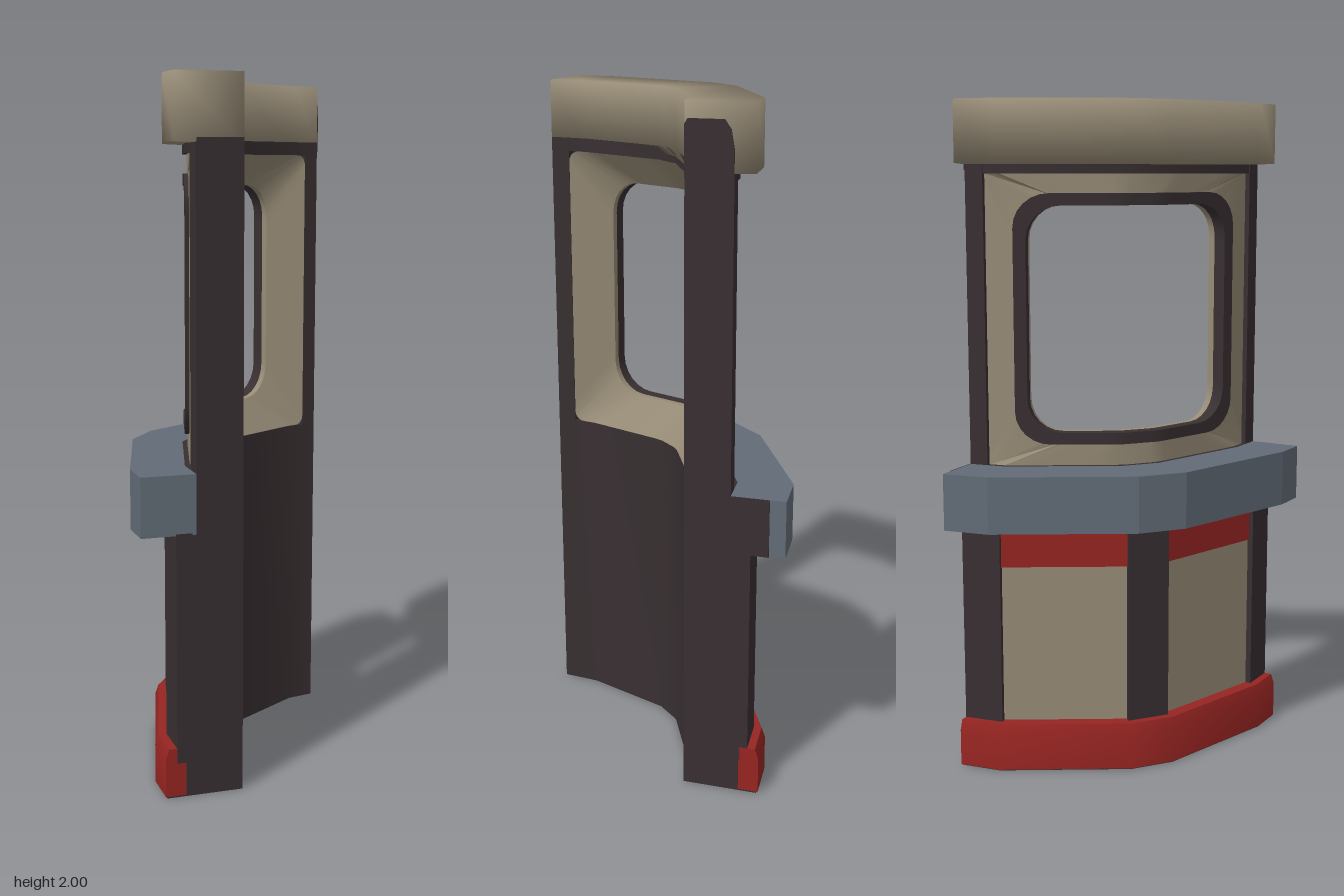
import * as THREE from 'three';
import { toCreasedNormals } from 'three/addons/utils/BufferGeometryUtils.js';

const paint = (name, color) => Object.assign(new THREE.MeshStandardMaterial({ color }), { name });
const dark = paint('dark brown', 0x382f31);
const tan = paint('tan', 0x968b76);
const grey = paint('slate grey', 0x626c77);
const red = paint('red', 0x972522);

// Plan of the bent wall: [inner x, inner z, outermost x, outermost z] per station
const PLAN = [
  [-0.095, 0.45, -0.387, 0.435],
  [-0.09, 0.335, -0.383, 0.325],
  [-0.005, 0.065, -0.25, -0.095],
  [0.055, -0.01, -0.155, -0.213],
  [0.3, -0.147, 0.225, -0.432],
  [0.385, -0.16, 0.365, -0.453],
];

// s runs along the wall (0..5), t across it (0 inner face, 1 shelf edge)
function place(s, t, y) {
  const i = Math.max(0, Math.min(4, Math.floor(s)));
  const [ix, iz, ox, oz] = PLAN[i].map((v, k) => v + (PLAN[i + 1][k] - v) * (s - i));
  return new THREE.Vector3(ix + (ox - ix) * t, y, iz + (oz - iz) * t);
}

function geometryFrom(tris, crease) {
  const g = new THREE.BufferGeometry().setFromPoints(tris.flat());
  g.computeVertexNormals();
  return toCreasedNormals(g, crease);
}

// Sweep a closed (t, y) profile along the wall from s0 to s1
function sweep(name, material, profile, s0, s1, crease = 0.5) {
  const steps = [s0];
  for (let i = Math.floor(s0) + 1; i < s1; i++) steps.push(i);
  steps.push(s1);
  const rings = steps.map((s) => profile.map(([t, y]) => place(s, t, y)));
  const tris = [];
  for (let k = 0; k + 1 < rings.length; k++) {
    profile.forEach((_, i) => {
      const j = (i + 1) % profile.length;
      const [a, b, c, d] = [rings[k][i], rings[k][j], rings[k + 1][j], rings[k + 1][i]];
      tris.push([a, b, c], [a, c, d]);
    });
  }
  const last = rings[rings.length - 1];
  const flat = profile.map(([t, y]) => new THREE.Vector2(t, y));
  for (const [a, b, c] of THREE.ShapeUtils.triangulateShape(flat, [])) {
    tris.push([rings[0][c], rings[0][b], rings[0][a]], [last[a], last[b], last[c]]);
  }
  // Turn the faces outward
  const volume = tris.reduce((v, [a, b, c]) => v + a.dot(b.clone().cross(c)), 0);
  if (volume < 0) tris.forEach((t) => t.reverse());
  const mesh = new THREE.Mesh(geometryFrom(tris, crease), material);
  mesh.name = name;
  return mesh;
}

const box = (t0, t1, y0, y1) => [[t0, y0], [t1, y0], [t1, y1], [t0, y1]];

// Distance along the wall to station number
const LENGTHS = PLAN.slice(1).map((_, i) => place(i, 0.3, 0).distanceTo(place(i + 1, 0.3, 0)));
const distanceAt = (s) => {
  const i = Math.min(4, Math.floor(s));
  return LENGTHS.slice(0, i).reduce((a, b) => a + b, 0) + LENGTHS[i] * (s - i);
};
function stationAt(d) {
  let i = 0;
  while (i < 4 && d > LENGTHS[i]) d -= LENGTHS[i++];
  return i + d / LENGTHS[i];
}

// Rounded rectangle loop wrapped onto the wall, counterclockwise from inside
function windowLoop(s0, s1, y0, y1, r, t, grow = 0) {
  const a0 = distanceAt(s0) - grow, a1 = distanceAt(s1) + grow;
  const b0 = y0 - grow, b1 = y1 + grow;
  const corners = [[a1 - r, b0 + r, -90], [a1 - r, b1 - r, 0], [a0 + r, b1 - r, 90], [a0 + r, b0 + r, 180]];
  const pts = [];
  corners.forEach(([cx, cy, start], k) => {
    const arc = (deg, x, y) => [x + r * Math.cos(deg * Math.PI / 180), y + r * Math.sin(deg * Math.PI / 180)];
    for (let i = 0; i <= 6; i++) pts.push(arc(start + i * 15, cx, cy));
    const [nx, ny] = corners[(k + 1) % 4];
    const p = arc(start + 90, cx, cy), q = arc(start + 90, nx, ny);
    for (let i = 1; i < 20; i++) pts.push([p[0] + (q[0] - p[0]) * i / 20, p[1] + (q[1] - p[1]) * i / 20]);
  });
  return pts.map(([d, y]) => place(stationAt(d), t, y));
}

function loft(name, material, loops) {
  const tris = [];
  for (let k = 0; k + 1 < loops.length; k++) {
    loops[k].forEach((a, i) => {
      const j = (i + 1) % loops[k].length;
      const b = loops[k][j], c = loops[k + 1][j], d = loops[k + 1][i];
      tris.push([a, b, c], [a, c, d]);
    });
  }
  const mesh = new THREE.Mesh(geometryFrom(tris, 0.6), material);
  mesh.name = name;
  return mesh;
}

export function createModel() {
  const model = new THREE.Group();
  model.name = 'curvedWallPanel';

  // Lower wall with its underside, and the header above the window
  model.add(sweep('lowerWall', dark, [
    [0, 0], [0.76, 0], [0.76, 0.004], [0.57, 0.004], [0.57, 0.76], [0.46, 0.76], [0.46, 0.93], [0, 0.93],
  ], 0, 5));
  model.add(sweep('header', dark, box(0, 0.45, 1.79, 1.83), 0, 5));

  // Posts beside the window
  for (const s of [0, 4.5]) model.add(sweep('windowPost', dark, box(0, 0.46, 0.93, 1.82), s, s + 0.5));

  // Outside posts, panels and red bands below the shelf
  for (const s of [0, 2, 4]) model.add(sweep('outerPost', dark, box(0.5, 0.66, 0.1, 0.765), s, s + 1, 0.1));
  for (const s of [1, 3]) {
    model.add(sweep('outerPanel', tan, box(0.56, 0.6, 0.14, 0.63), s, s + 1, 0.1));
    model.add(sweep('panelBand', red, box(0.56, 0.615, 0.63, 0.762), s, s + 1, 0.1));
  }

  // Base skirt
  model.add(sweep('baseSkirt', red, [
    [0.57, 0.004], [0.776, 0.004], [0.776, 0.115], [0.74, 0.145], [0.57, 0.145],
  ], 0, 5));

  // Shelf with a dark end plate
  model.add(sweep('shelf', grey, box(0.46, 1, 0.76, 0.93), 0, 5, 0.1));
  model.add(sweep('shelfEndPlate', dark, box(0.46, 0.84, 0.76, 0.93), 5, 5.03));

  // Top cap with a dark end plate
  model.add(sweep('topCap', tan, [[0, 1.81], [0.66, 1.82], [0.66, 2], [0, 2]], 0, 5, 1.7));
  model.add(sweep('capEndPlate', dark, [
    [0, 1.8], [0.46, 1.8], [0.46, 1.88], [0.43, 1.93], [0.37, 1.955], [0.03, 1.955], [0, 1.94],
  ], 5, 5.03));

  // Window: sloped inner surround, dark seal, outer face
  const opening = [1.2, 3.8, 1.03, 1.7, 0.1];
  const edge = [0.5, 4.5, 0.93, 1.79];
  model.add(loft('windowSurround', tan, [
    windowLoop(...edge, 0.03, 0.005), windowLoop(...opening, 0.25), windowLoop(...opening, 0.32),
  ]));
  model.add(loft('windowSeal', dark, [
    windowLoop(...opening, 0.32), windowLoop(...opening, 0.45),
    windowLoop(...opening, 0.45, 0.035), windowLoop(...opening, 0.4, 0.035),
  ]));
  model.add(loft('windowOuterFace', tan, [
    windowLoop(...opening, 0.41, 0.03), windowLoop(...edge, 0.002, 0.41),
  ]));
  return model;
}
